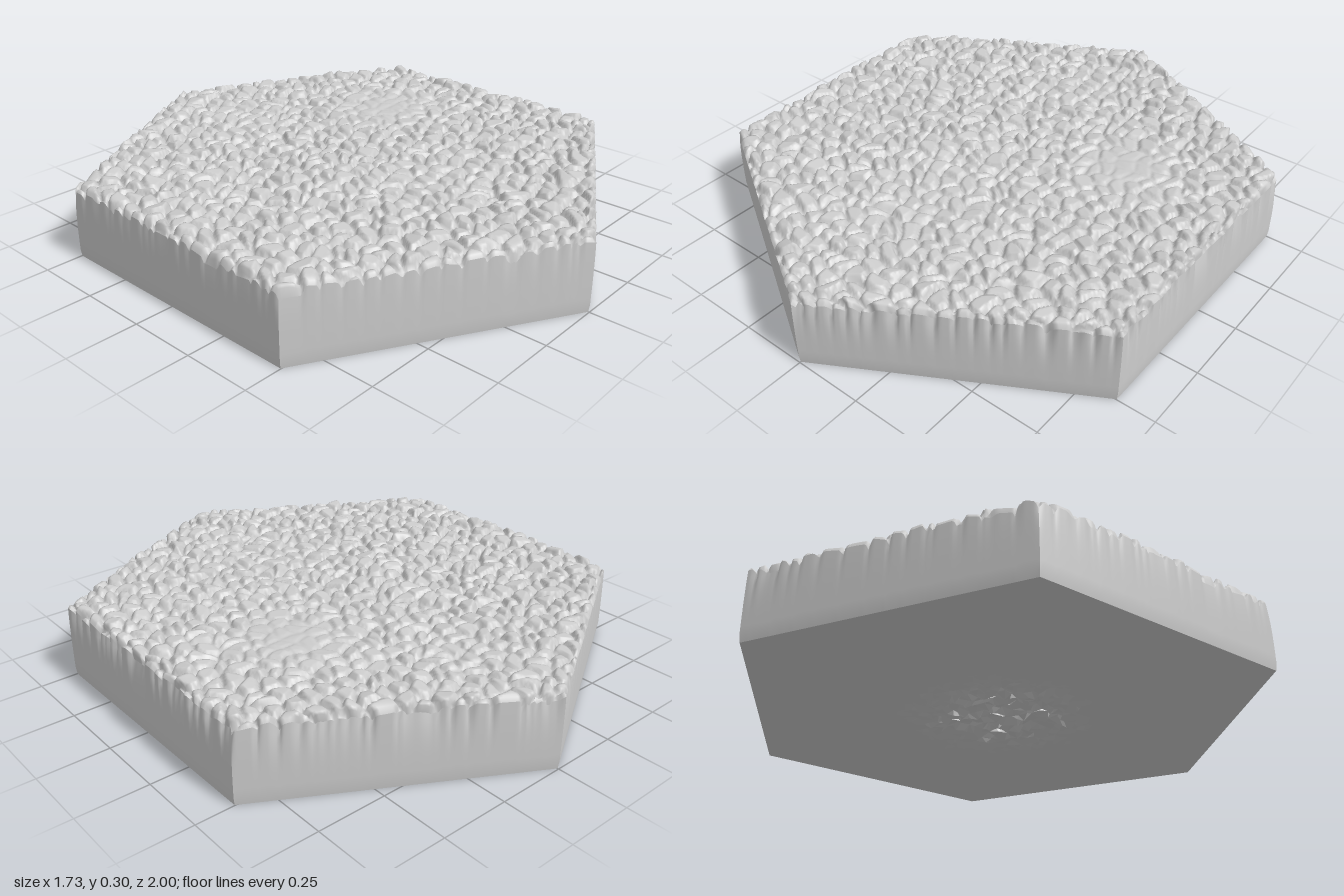
import * as THREE from 'three';
import { mergeGeometries } from 'three/addons/utils/BufferGeometryUtils.js';

const RINGS = 124;          // subdivisions from centre to rim
const APOTHEM = Math.sqrt(3) / 2;
const CELL = 0.062;         // average stone size

const hash = (a, b, c) => {
  const s = Math.sin(a * 127.1 + b * 311.7 + c * 74.7) * 43758.5453;
  return s - Math.floor(s);
};
const smooth = THREE.MathUtils.smoothstep;
const lerp = THREE.MathUtils.lerp;
const blob = (x, z, cx, cz, r) => Math.exp(-((x - cx) ** 2 + (z - cz) ** 2) / (r * r));

// Point on concentric hexagon ring i of n, step m around it (corner 0 at +z)
function hexPoint(i, m, n) {
  if (i === 0) return [0, 0];
  const k = Math.floor(m / i), t = (m % i) / i, r = i / n;
  const a = k * Math.PI / 3, b = a + Math.PI / 3;
  return [r * lerp(Math.sin(a), Math.sin(b), t), r * lerp(Math.cos(a), Math.cos(b), t)];
}

// Hexagonal sheet of triangles; place(x, z, i) returns the final [x, y, z]
function hexSheet(n, place, down = false) {
  const pos = [], index = [];
  const id = (i, m) => (i === 0 ? 0 : 1 + 3 * i * (i - 1) + (m % (6 * i)));
  for (let i = 0; i <= n; i++)
    for (let m = 0; m < Math.max(1, 6 * i); m++) pos.push(...place(...hexPoint(i, m, n), i));
  const tri = (a, b, c) => (down ? index.push(a, c, b) : index.push(a, b, c));
  for (let i = 1; i <= n; i++)
    for (let k = 0; k < 6; k++)
      for (let j = 0; j < i; j++) {
        const o = k * i + j, q = k * (i - 1) + j;
        tri(id(i, o), id(i, o + 1), id(i - 1, q));
        if (j < i - 1) tri(id(i - 1, q), id(i, o + 1), id(i - 1, q + 1));
      }
  return finish(pos, index);
}

function finish(pos, index) {
  const g = new THREE.BufferGeometry();
  g.setAttribute('position', new THREE.Float32BufferAttribute(pos, 3));
  g.setIndex(index);
  g.computeVertexNormals();
  return g;
}

// Cellular stone pattern: height of the stone face and how deep in a joint we are
function stones(x0, z0) {
  const x = x0 + 0.009 * Math.sin(z0 * 41 + x0 * 13), z = z0 + 0.009 * Math.sin(x0 * 37 - z0 * 17);
  const cx = Math.floor(x / CELL), cz = Math.floor(z / CELL);
  let f1 = 9, f2 = 9, near = null;
  for (let a = cx - 2; a <= cx + 2; a++)
    for (let b = cz - 2; b <= cz + 2; b++) {
      const px = (a + 0.1 + 0.8 * hash(a, b, 1)) * CELL, pz = (b + 0.1 + 0.8 * hash(a, b, 2)) * CELL;
      const d = Math.hypot(x - px, z - pz);
      if (d < f1) { f2 = f1; f1 = d; near = [a, b, x - px, z - pz]; }
      else if (d < f2) f2 = d;
    }
  const [a, b, dx, dz] = near;
  const face = 0.013 * hash(a, b, 3) + (hash(a, b, 4) - 0.5) * 0.5 * dx + (hash(a, b, 5) - 0.5) * 0.5 * dz;
  return { face, joint: 1 - smooth(f2 - f1, 0, 0.022) };
}

// Cobbled top: gentle mounds, a worn smooth patch, joints and a rounded rim
function topPoint(x, z, i) {
  const { face, joint } = stones(x, z);
  const worn = Math.min(1, blob(x, z, 0.42, -0.2, 0.2) + 0.35 * blob(x, z, 0, -0.6, 0.25)
    + 0.35 * blob(x, z, 0.05, 0.35, 0.25));
  const rough = 1 - 0.85 * worn;
  const ground = 0.27 + 0.012 * smooth(x, 0, 0.6) + 0.02 * blob(x, z, -0.19, 0.04, 0.15)
    + 0.003 * Math.sin(x * 7 + 1) * Math.cos(z * 6);
  const edge = (1 - i / RINGS) * APOTHEM;
  const bend = Math.max(0, 1 - edge / 0.035);
  const drop = 0.02 * (1 - Math.sqrt(1 - bend * bend));
  // Joints bite into the rim, more strongly on the +x half
  const bite = smooth(bend, 0, 1) * (0.003 + joint * lerp(0.004, 0.016, smooth(x, -0.2, 0.2)));
  const y = ground + rough * (face - 0.022 * joint) + 0.005 * worn - drop;
  return [x * (1 - bite), y, z * (1 - bite)];
}

// Six side walls, with the joints running out as grooves below the rim
function sideWalls() {
  const rows = 9, faces = [];
  for (let k = 0; k < 6; k++) {
    const pos = [], index = [];
    for (let j = 0; j <= RINGS; j++) {
      const [x, z] = hexPoint(RINGS, (k * RINGS + j) % (6 * RINGS), RINGS);
      const [tx, ty, tz] = topPoint(x, z, RINGS);
      for (let r = 0; r <= rows; r++) {
        const t = r / rows, s = t ** 4;
        const foot = 1 - (r === 0 ? 0.004 : 0);
        pos.push(lerp(x, tx, s) * foot, ty * t, lerp(z, tz, s) * foot);
        if (j < RINGS && r < rows) {
          const a = j * (rows + 1) + r, b = a + rows + 1;
          index.push(a, b, b + 1, a, b + 1, a + 1);
        }
      }
    }
    faces.push(finish(pos, index));
  }
  return mergeGeometries(faces);
}

// Flat underside with a shallow, chipped hollow in the middle
function undersidePoint(x, z, i) {
  const r = Math.hypot(x, z), chip = 1 - smooth(r, 0.1, 0.46);
  const jx = (hash(x, z, 7) - 0.5) * 0.035 * chip, jz = (hash(x, z, 8) - 0.5) * 0.035 * chip;
  const rim = i === 36 ? 0.996 : 1;
  return [(x + jx) * rim, 0.028 * chip * hash(x, z, 9), (z + jz) * rim];
}

export function createModel() {
  const group = new THREE.Group();
  group.name = 'cobbledHexTile';
  const add = (name, geometry, flatShading = false) => {
    const mesh = new THREE.Mesh(geometry, new THREE.MeshStandardMaterial({ color: 0xcccccc, flatShading }));
    mesh.name = name;
    group.add(mesh);
  };
  add('cobbledTop', hexSheet(RINGS, topPoint));
  add('sideWalls', sideWalls());
  add('underside', hexSheet(36, undersidePoint, true), true);
  return group;
}
